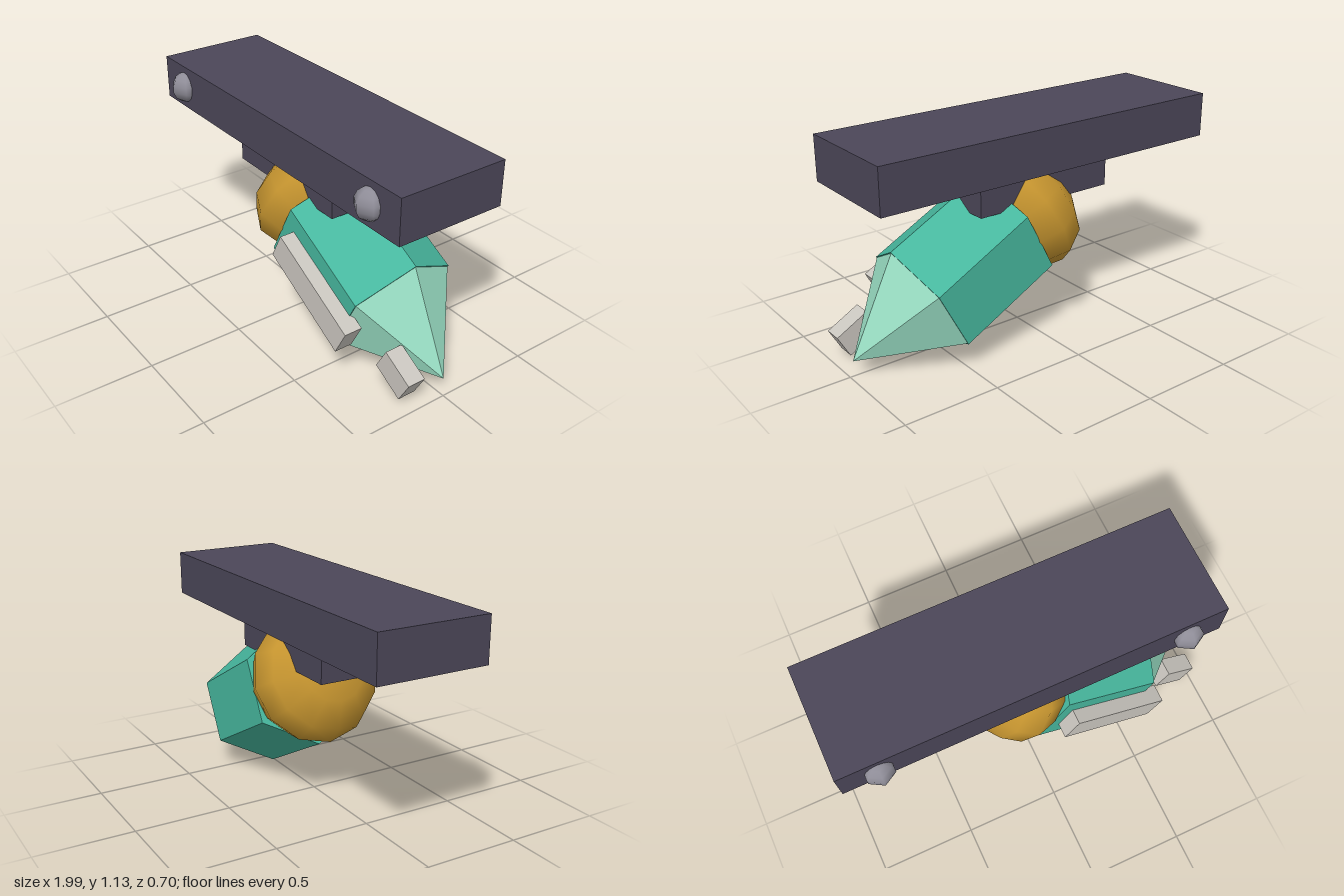
import * as THREE from 'three';

const mat = (name, color) => {
  const m = new THREE.MeshStandardMaterial({ color });
  m.name = name;
  return m;
};

// Faceted copy of a geometry
const faceted = (geometry) => {
  const g = geometry.toNonIndexed();
  g.computeVertexNormals();
  return g;
};

export function createModel() {
  const darkPaint = mat('dark violet paint', 0x4b4658);
  const teal = mat('teal shell', 0x47b79e);
  const mint = mat('mint tip', 0x98dcc2);
  const gold = mat('gold joint', 0xc5942f);
  const paleGrey = mat('pale grey', 0xcac6bf);
  const steel = mat('bolt steel', 0x8f8d98);

  const model = new THREE.Group();
  model.name = 'hangingPod';
  const add = (parent, name, geometry, material, x, y, z) => {
    const mesh = new THREE.Mesh(geometry, material);
    mesh.name = name;
    mesh.position.set(x, y, z);
    parent.add(mesh);
    return mesh;
  };

  // Mounting bar and the block beneath it
  add(model, 'mountingBar', new THREE.BoxGeometry(1.956, 0.23, 0.585), darkPaint, -0.022, 1.02, -0.011);
  add(model, 'mountingBlock', new THREE.BoxGeometry(0.78, 0.18, 0.39), darkPaint, -0.02, 0.818, -0.01);

  // Bolt heads on the front of the bar
  for (const x of [-0.805, 0.76]) {
    const bolt = new THREE.SphereGeometry(0.08, 6, 7).rotateY(Math.PI / 6);
    add(model, 'bolt', bolt, steel, x, 1.022, 0.277);
  }

  // Tilted pod: local y runs down its axis, starting at the joint
  const pod = new THREE.Group();
  pod.name = 'pod';
  pod.position.set(-0.02, 0.625, -0.01);
  pod.rotation.z = THREE.MathUtils.degToRad(-118);
  model.add(pod);

  const joint = new THREE.SphereGeometry(0.34, 12, 6).scale(1, 0.706, 1);
  add(pod, 'joint', joint, gold, 0, 0, 0);

  // Hexagonal shell with a pointed tip
  const shell = new THREE.CylinderGeometry(0.332, 0.332, 0.578, 6, 1, false, Math.PI / 6);
  add(pod, 'shell', faceted(shell), teal, 0, 0.409, 0);
  const tip = new THREE.ConeGeometry(0.326, 0.44, 6, 1, false, Math.PI / 6);
  add(pod, 'tip', faceted(tip), mint, 0, 0.918, 0);

  // Side rail and the small block beside the tip
  add(pod, 'sideRail', new THREE.BoxGeometry(0.155, 0.582, 0.096), paleGrey, 0, 0.485, 0.317);
  const lug = add(pod, 'tipBlock', new THREE.BoxGeometry(0.133, 0.19, 0.096), paleGrey, 0, 1.018, 0.178);
  lug.rotation.z = -0.02;

  return model;
}
